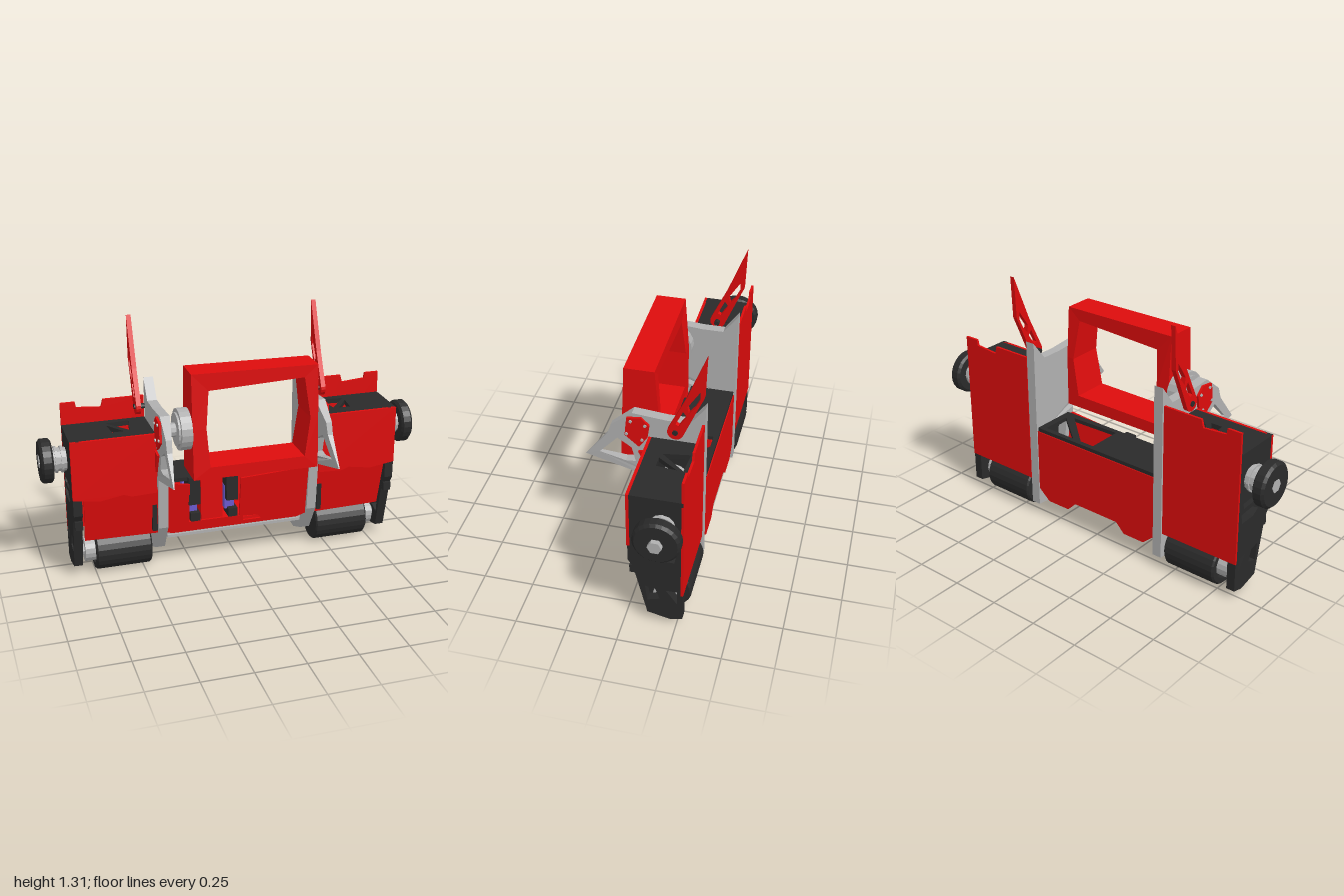
import * as THREE from 'three';

const mat = (color) => new THREE.MeshStandardMaterial({ color, flatShading: true, side: THREE.DoubleSide });

export function createModel() {
  const model = new THREE.Group();
  const red = mat(0xdd0c0c), black = mat(0x2a2a2a), grey = mat(0xb0b0b0), violet = mat(0x6a5acd);
  const AXIS = -0.01; // plane the left and right halves mirror about

  const add = (name, geo, material) => {
    const m = new THREE.Mesh(geo, material);
    m.name = name;
    model.add(m);
    return m;
  };
  const outline = (pts, holes = []) => {
    const v = (list) => list.map(([a, b]) => new THREE.Vector2(a, b));
    const s = new THREE.Shape(v(pts));
    holes.forEach((h) => s.holes.push(new THREE.Path(v(h))));
    return s;
  };
  const extrude = (pts, holes, depth) =>
    new THREE.ExtrudeGeometry(outline(pts, holes), { depth, bevelEnabled: false });
  // plate drawn in (x, y), from z to z + depth
  const facePlate = (name, pts, z, depth, material, holes) =>
    add(name, extrude(pts, holes, depth).translate(0, 0, z), material);
  // plate drawn in (z, y), centred on x
  const sidePlate = (name, pts, x, depth, material, holes) =>
    add(name, extrude(pts, holes, depth).rotateY(-Math.PI / 2).translate(x + depth / 2, 0, 0), material);
  // plate drawn in (x, z), from y down to y - depth
  const deckPlate = (name, pts, y, depth, material, holes) =>
    add(name, extrude(pts, holes, depth).rotateX(Math.PI / 2).translate(0, y, 0), material);
  // box given by its limits
  const box = (name, x0, x1, y0, y1, z0, z1, material) =>
    add(name, new THREE.BoxGeometry(Math.abs(x1 - x0), y1 - y0, z1 - z0)
      .translate((x0 + x1) / 2, (y0 + y1) / 2, (z0 + z1) / 2), material);
  // cylinder lying along x
  const drum = (name, x0, x1, y, z, r, material, sides = 24) =>
    add(name, new THREE.CylinderGeometry(r, r, Math.abs(x1 - x0), sides).rotateZ(Math.PI / 2)
      .translate((x0 + x1) / 2, y, z), material);
  // solid of revolution about x; profile is [radius, x]
  const turned = (name, profile, y, z, material, sides = 24) =>
    add(name, new THREE.LatheGeometry(profile.map(([r, x]) => new THREE.Vector2(r, x)), sides)
      .rotateZ(-Math.PI / 2).translate(0, y, z), material);

  for (const s of [1, -1]) {
    const X = (x) => AXIS + s * x;
    const mir = (pts) => pts.map(([x, y]) => [X(x), y]);

    // Side pod: red skins around a dark frame
    facePlate('podFrontPlate', mir([[0.43, 0.46], [0.56, 0.455], [0.6, 0.47], [0.72, 0.45], [0.855, 0.47], [0.855, 0.775], [0.43, 0.775]]),
      -0.03, 0.015, red);
    facePlate('podBackPlate', mir([[0.43, 0.2], [0.855, 0.2], [0.855, 0.89], [0.78, 0.89], [0.775, 0.86], [0.65, 0.85], [0.64, 0.89], [0.43, 0.89]]),
      -0.283, 0.012, red);
    deckPlate('podDeck', mir([[0.43, -0.28], [0.855, -0.28], [0.855, -0.03], [0.43, -0.03]]), 0.775, 0.025, black,
      [mir([[0.52, -0.24], [0.64, -0.23], [0.54, -0.11]]), mir([[0.57, -0.1], [0.64, -0.2], [0.63, -0.1]])]);
    deckPlate('podFloor', mir([[0.43, -0.27], [0.82, -0.27], [0.82, -0.03], [0.43, -0.03]]), 0.49, 0.03, black,
      [mir([[0.5, -0.23], [0.74, -0.23], [0.74, -0.08]])]);
    box('podInnerWall', X(0.43), X(0.455), 0.24, 0.76, -0.27, -0.03, black);
    drum('podMotor', X(0.5), X(0.8), 0.63, -0.16, 0.06, grey, 16);

    // Outer side frame with cut-outs
    sidePlate('sideFrame', [[-0.015, 0.775], [-0.28, 0.775], [-0.28, 0.05], [-0.22, 0.035], [-0.11, 0.06], [-0.045, 0.34], [-0.02, 0.38]],
      X(0.832), 0.045, black, [
        [[-0.1, 0.515], [-0.24, 0.51], [-0.23, 0.48], [-0.12, 0.485]],
        [[-0.11, 0.43], [-0.16, 0.46], [-0.25, 0.455], [-0.24, 0.405], [-0.15, 0.405]],
        [[-0.1, 0.23], [-0.15, 0.22], [-0.17, 0.16], [-0.11, 0.14]],
        [[-0.2, 0.22], [-0.255, 0.22], [-0.255, 0.14]],
      ]);
    box('sideTab', X(0.81), X(0.85), 0.3, 0.345, -0.06, -0.025, black);

    // Lower drive wheel
    const lower = [[0, 0.45], [0.105, 0.45], [0.113, 0.458], [0.113, 0.732], [0.105, 0.74], [0.08, 0.74], [0.08, 0.71], [0, 0.71]];
    turned('driveWheel', lower.map(([r, x]) => [r, X(x)]), 0.115, -0.185, black);
    drum('driveHub', X(0.71), X(0.79), 0.115, -0.185, 0.065, grey, 16);
    drum('driveAxle', X(0.79), X(0.835), 0.115, -0.185, 0.03, grey, 8);

    // Upper outer wheel
    const upper = [[0, 0.925], [0.1, 0.925], [0.113, 0.935], [0.113, 0.975], [0.1, 0.987], [0, 0.987]];
    turned('outerWheel', upper.map(([r, x]) => [r, X(x)]), 0.63, -0.185, black);
    drum('outerHub', X(0.855), X(0.93), 0.63, -0.185, 0.06, grey, 12);
    for (const r of [0.87, 0.9]) drum('hubRing', X(r), X(r + 0.012), 0.63, -0.185, 0.068, grey, 12);
    drum('outerAxle', X(0.98), X(0.99) + (s > 0 ? 0.02 : 0), 0.63, -0.185, 0.034, grey, 6);

    // Grey upright with a forward prong that thins to a point
    const upright = sidePlate('upright', [[-0.285, 0.98], [-0.21, 0.88], [-0.1, 0.88], [0.065, 0.895], [0.17, 0.81], [0.19, 0.75],
      [0.3, 0.61], [-0.005, 0.53], [-0.03, 0.25], [-0.12, 0.1], [-0.23, 0.055], [-0.285, 0.06]],
      0, 0.05, grey, [[[0.23, 0.635], [0.14, 0.735], [0.07, 0.69], [0.05, 0.61], [0.1, 0.605]],
        [[-0.06, 0.48], [-0.08, 0.28], [-0.22, 0.28], [-0.22, 0.48]]]);
    const p = upright.geometry.attributes.position;
    for (let i = 0; i < p.count; i++) {
      const t = THREE.MathUtils.clamp((p.getZ(i) - 0.07) / 0.23, 0, 1);
      p.setX(i, X(0.4 + s * p.getX(i) * (1 - 0.9 * t) + 0.018 * t));
    }
    upright.geometry.computeVertexNormals();

    // Pivot gusset with bolts
    sidePlate('pivotGusset', [[0.09, 0.87], [0.02, 0.88], [-0.02, 0.84], [-0.01, 0.77], [0.03, 0.71], [0.1, 0.77]], X(0.43), 0.014, red);
    sidePlate('lowerGusset', [[0.035, 0.68], [-0.03, 0.69], [-0.03, 0.54]], X(0.43), 0.014, red);
    for (const [z, y] of [[0.07, 0.855], [0.0, 0.84], [0.09, 0.78], [0.015, 0.755]])
      drum('gussetBolt', X(0.43), X(0.443), y, z, 0.008, grey, 6);

    // Tall fin with rounded foot and slots
    const foot = [];
    for (let i = 0; i <= 8; i++) {
      const a = 0.35 - (i / 8) * Math.PI;
      foot.push([-0.159 + 0.039 * Math.cos(a), 0.876 + 0.039 * Math.sin(a)]);
    }
    sidePlate('fin', [[-0.3, 1.308], [-0.203, 1.06], ...foot, [-0.257, 1.01], [-0.292, 1.09]], X(0.487), 0.024, red, [
      [[-0.272, 1.12], [-0.215, 1.03], [-0.222, 0.995], [-0.25, 1.03], [-0.274, 1.08]],
      [[-0.195, 1.0], [-0.16, 0.925], [-0.175, 0.915], [-0.213, 0.975]],
    ]);
    drum('finPin', X(0.45), X(0.505), 0.876, -0.159, 0.014, black, 8);
  }

  // Lower front skin, leaning back towards its bottom edge
  const front = facePlate('lowerFrontPlate', [[-0.81, 0.225], [-0.4, 0.215], [-0.36, 0.2], [0.32, 0.2], [0.36, 0.215], [0.775, 0.225],
    [0.79, 0.47], [0.4, 0.47], [0.36, 0.5], [0, 0.48], [0, 0.255], [-0.27, 0.255], [-0.27, 0.48], [-0.38, 0.5], [-0.42, 0.47], [-0.81, 0.47]],
    0, 0.012, red, [[[0.02, 0.222], [0.12, 0.222], [0.1, 0.245], [0.02, 0.25]]]);
  const fp = front.geometry.attributes.position;
  for (let i = 0; i < fp.count; i++) fp.setZ(i, fp.getZ(i) - 0.028 - (0.48 - fp.getY(i)) * 0.15);
  front.geometry.computeVertexNormals();

  // Centre back skin with two lower tabs
  facePlate('centreBackPlate', [[-0.39, 0.16], [-0.32, 0.1], [-0.2, 0.1], [-0.15, 0.15], [0.12, 0.15], [0.17, 0.1], [0.3, 0.1], [0.37, 0.16],
    [0.37, 0.49], [-0.39, 0.49]], -0.28, 0.012, red);

  // Centre bay: deck, rails, brackets and cells
  deckPlate('centreDeck', [[-0.385, -0.275], [0.365, -0.275], [0.365, -0.045], [-0.385, -0.045]], 0.51, 0.02, black,
    [[[0.02, -0.25], [0.1, -0.25], [0.29, -0.08], [0.02, -0.07]], [[0.15, -0.25], [0.33, -0.25], [0.33, -0.1]]]);
  box('bayFloor', -0.385, 0.365, 0.22, 0.235, -0.27, -0.07, red);
  for (const [x0, x1] of [[-0.275, -0.215], [-0.075, -0.015]]) {
    box('bracket', x0, x1, 0.36, 0.51, -0.12, -0.025, black);
    box('bracketFoot', x0 + 0.01, x1, 0.265, 0.31, -0.12, -0.03, black);
    box('cell', x0 - 0.002, x1 - 0.01, 0.3, 0.43, -0.2, -0.06, violet);
  }
  box('centreBlock', -0.2, -0.085, 0.25, 0.49, -0.2, -0.07, red);
  box('crossbar', -0.4, 0.38, 0.155, 0.2, -0.2, -0.13, grey);
  box('crossbarLip', -0.37, 0.36, 0.145, 0.16, -0.24, -0.12, grey);

  // Swinging frame: four tapered rails around an opening; rows are corners, columns edges
  const corners = [
    { o: [-0.29, 0.57], i: [-0.205, 0.63], z: [-0.05, 0.14] },
    { o: [0.355, 0.565], i: [0.285, 0.63], z: [-0.05, 0.14] },
    { o: [0.355, 1.1], i: [0.285, 1.04], z: [-0.03, 0.118] },
    { o: [-0.29, 1.11], i: [-0.205, 1.02], z: [-0.03, 0.118] },
  ];
  const mids = [null, { o: [0.355, 0.83], i: [0.315, 0.83], z: [-0.05, 0.13] }, null, { o: [-0.29, 0.83], i: [-0.22, 0.83], z: [-0.05, 0.13] }];
  const loop = corners.flatMap((c, k) => (mids[k] ? [c, mids[k]] : [c]));
  const pos = [], idx = [];
  for (const { o, i, z } of loop) pos.push(...o, z[1], ...o, z[0], ...i, z[0], ...i, z[1]);
  for (let k = 0; k < loop.length; k++) for (let e = 0; e < 4; e++) {
    const n = (k + 1) % loop.length, f = (e + 1) % 4;
    const a = k * 4 + e, b = k * 4 + f, c = n * 4 + f, d = n * 4 + e;
    idx.push(a, b, c, a, c, d);
  }
  const ring = new THREE.BufferGeometry();
  ring.setAttribute('position', new THREE.Float32BufferAttribute(pos, 3));
  ring.setIndex(idx);
  const frameGeo = ring.toNonIndexed();
  frameGeo.computeVertexNormals();
  add('swingFrame', frameGeo, red);

  // Frame pivots
  drum('pivotDrum', -0.345, -0.29, 0.81, 0.04, 0.105, grey, 20);
  drum('pivotCap', -0.355, -0.345, 0.81, 0.04, 0.085, grey, 20);
  drum('pivotShaft', -0.4, -0.35, 0.81, 0.04, 0.035, grey, 10);
  drum('pivotShaft', 0.35, 0.4, 0.81, 0.04, 0.035, grey, 10);

  return model;
}
